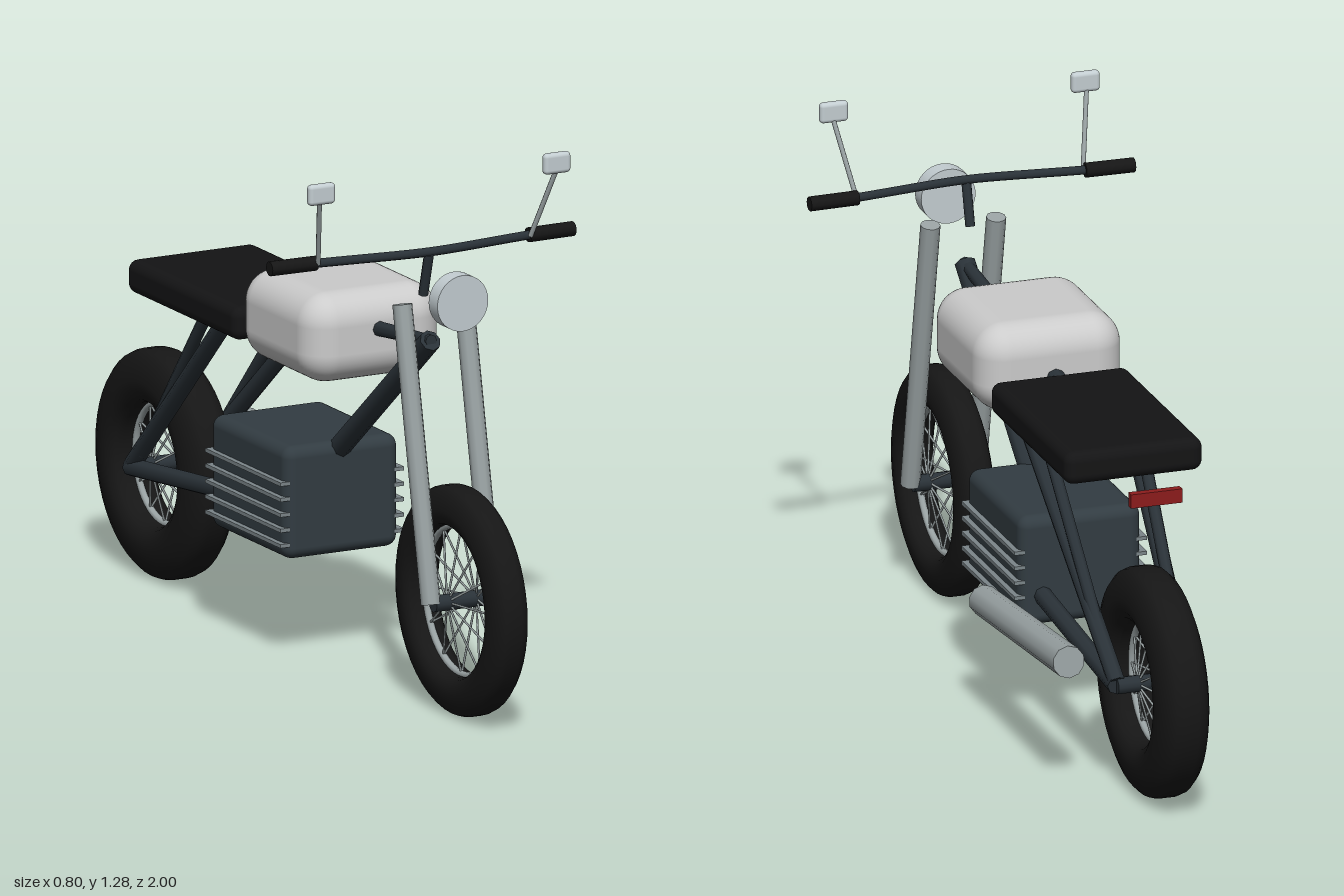
import * as THREE from 'three';
import { RoundedBoxGeometry } from 'three/addons/geometries/RoundedBoxGeometry.js';

const mat = (color) => new THREE.MeshStandardMaterial({ color });
const paint = mat(0xcccccc), frameMat = mat(0x2a3238), engineMat = mat(0x323c42), finMat = mat(0x7c868a);
const rubber = mat(0x161616), seatMat = mat(0x141415), metal = mat(0x9aa3a4), lens = mat(0xc3cdd1), red = mat(0x8c1c1c);

function add(parent, name, geometry, material, x = 0, y = 0, z = 0) {
  const m = new THREE.Mesh(geometry, material);
  m.name = name;
  m.position.set(x, y, z);
  parent.add(m);
  return m;
}

// Straight tube from a to b, with radius ra at a and rb at b
function rod(parent, name, a, b, ra, material, sides = 8, rb = ra) {
  const A = new THREE.Vector3(...a), B = new THREE.Vector3(...b);
  const dir = B.clone().sub(A);
  const m = add(parent, name, new THREE.CylinderGeometry(rb, ra, dir.length(), sides), material);
  m.position.copy(A).add(B).multiplyScalar(0.5);
  m.quaternion.setFromUnitVectors(new THREE.Vector3(0, 1, 0), dir.normalize());
  return m;
}

// Wheel: lathed tyre, rim, hub and crossed spokes
function wheel(name, z, inner, half, hubHalf) {
  const outer = 0.272, t = outer - inner;
  const g = new THREE.Group();
  g.name = name;
  g.position.set(0, outer, z);
  const side = [[0, 0.5], [0.06, 0.78], [0.22, 0.97], [0.42, 1], [0.65, 0.92], [0.85, 0.76], [0.96, 0.55], [1, 0.3]];
  const profile = side.map(([r, w]) => new THREE.Vector2(inner + r * t, -w * half));
  profile.push(...side.slice().reverse().map(([r, w]) => new THREE.Vector2(inner + r * t, w * half)));
  profile.push(profile[0].clone());
  add(g, 'tyre', new THREE.LatheGeometry(profile, 48), rubber).rotation.z = Math.PI / 2;
  add(g, 'rim', new THREE.TorusGeometry(inner - 0.002, 0.009, 8, 48), metal).rotation.y = Math.PI / 2;
  rod(g, 'hub', [-hubHalf, 0, 0], [hubHalf, 0, 0], 0.02, frameMat, 12);
  for (let i = 0; i < 12; i++) {
    const a = (i / 12) * Math.PI * 2, c = Math.cos(a), s = Math.sin(a);
    for (const k of [-1, 1]) {
      rod(g, 'spoke', [k * 0.035, c * 0.015, s * 0.015], [0, c * inner, s * inner], 0.0028, metal, 5);
    }
  }
  return g;
}

export function createModel() {
  const bike = new THREE.Group();
  bike.name = 'motorcycle';
  bike.add(wheel('frontWheel', 0.728, 0.179, 0.0475, 0.075));
  bike.add(wheel('rearWheel', -0.728, 0.147, 0.0635, 0.09));

  // Body
  add(bike, 'tank', new RoundedBoxGeometry(0.36, 0.215, 0.38, 6, 0.075), paint, 0, 0.812, 0.137);
  add(bike, 'seat', new RoundedBoxGeometry(0.34, 0.08, 0.54, 4, 0.025), seatMat, 0, 0.77, -0.338);
  add(bike, 'tailLight', new THREE.BoxGeometry(0.126, 0.034, 0.02), red, 0, 0.733, -0.746);

  // Engine block with cooling fins
  add(bike, 'engine', new RoundedBoxGeometry(0.3, 0.27, 0.38, 4, 0.028), engineMat, 0, 0.386, -0.043);
  for (let i = 0; i < 5; i++) {
    add(bike, 'coolingFin', new THREE.BoxGeometry(0.326, 0.009, 0.37), finMat, 0, 0.288 + i * 0.037, -0.043);
  }

  // Backbone and down tube
  rod(bike, 'topTube', [0, 0.86, 0.58], [0, 0.785, -0.1], 0.015, frameMat, 8, 0.024);
  rod(bike, 'downTube', [0, 0.86, 0.575], [0, 0.48, 0.1], 0.026, frameMat, 8);

  // Exhaust pipe
  rod(bike, 'exhaust', [0.19, 0.278, -0.09], [0.207, 0.345, -0.728], 0.037, metal, 10, 0.039);

  // Headlight
  add(bike, 'headlight', new THREE.CylinderGeometry(0.067, 0.067, 0.043, 32), lens, 0, 0.985, 0.713)
    .rotation.x = Math.PI / 2;

  // Handlebar and its stem
  rod(bike, 'handlebarStem', [0, 1.065, 0.568], [0, 0.963, 0.54], 0.012, frameMat);
  const barPoints = [[-0.36, 1.07, 0.53], [-0.28, 1.07, 0.535], [-0.06, 1.07, 0.562], [0, 1.07, 0.565],
    [0.06, 1.07, 0.562], [0.28, 1.07, 0.535], [0.36, 1.07, 0.53]].map((p) => new THREE.Vector3(...p));
  add(bike, 'handlebar', new THREE.TubeGeometry(new THREE.CatmullRomCurve3(barPoints), 32, 0.011, 8), frameMat);

  // Mirrored parts
  for (const s of [-1, 1]) {
    rod(bike, 'fork', [s * 0.081, 0.272, 0.728], [s * 0.081, 0.96, 0.588], 0.0235, metal, 10);
    rod(bike, 'grip', [s * 0.28, 1.07, 0.533], [s * 0.4, 1.07, 0.53], 0.0175, rubber, 10);
    rod(bike, 'mirrorStem', [s * 0.28, 1.07, 0.545], [s * 0.312, 1.24, 0.612], 0.006, metal);
    add(bike, 'mirror', new RoundedBoxGeometry(0.07, 0.05, 0.022, 3, 0.01), lens, s * 0.31, 1.258, 0.616);
    rod(bike, 'seatStay', [s * 0.125, 0.755, -0.19], [s * 0.088, 0.28, -0.725], 0.021, frameMat);
    rod(bike, 'shockAbsorber', [s * 0.115, 0.75, -0.3], [s * 0.092, 0.32, -0.67], 0.015, frameMat);
    rod(bike, 'swingArm', [s * 0.095, 0.33, -0.2], [s * 0.09, 0.274, -0.73], 0.022, frameMat);
  }
  return bike;
}
